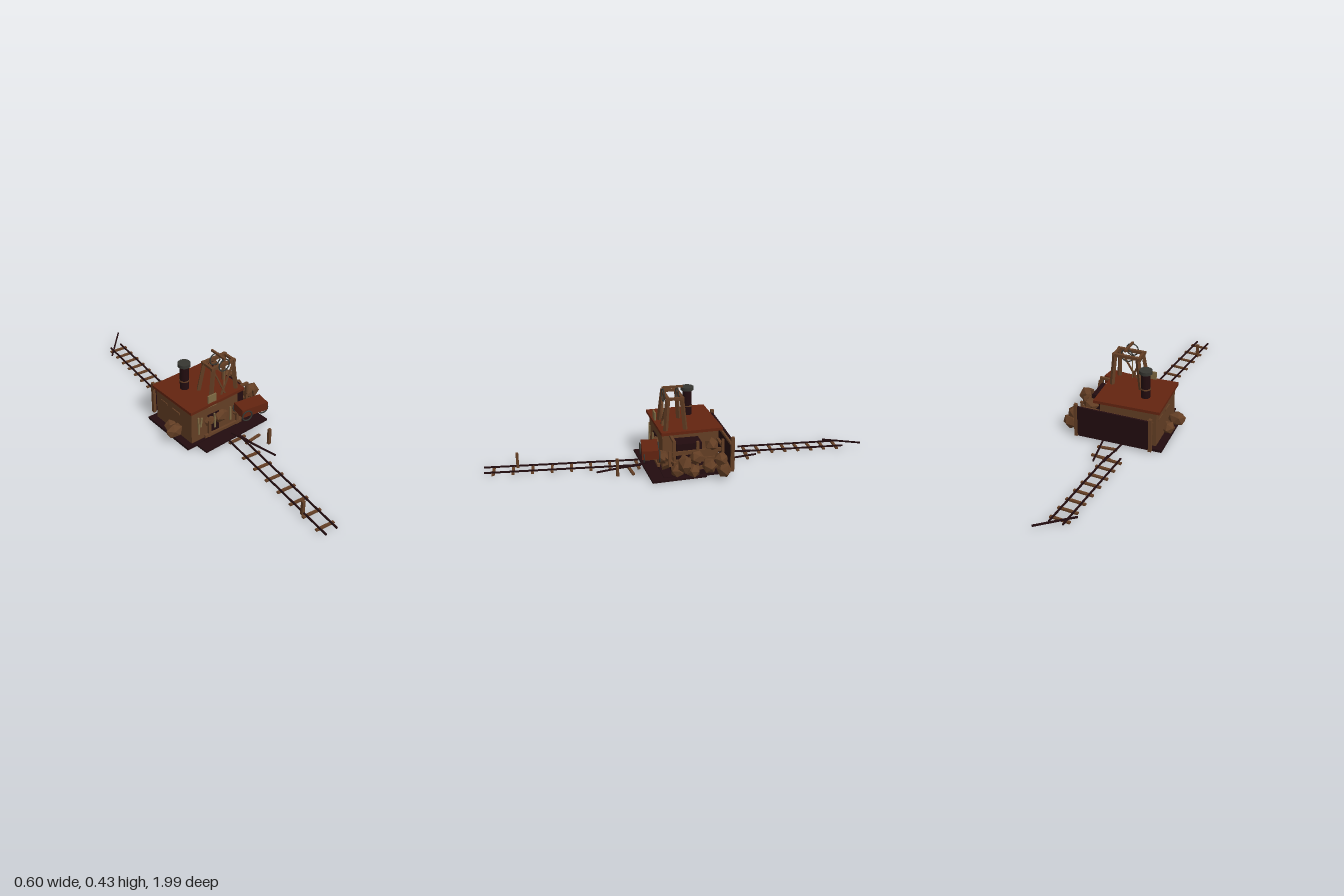
import * as THREE from 'three';

const paint = (name, color) => {
  const m = new THREE.MeshStandardMaterial({ color });
  m.name = name;
  return m;
};

export function createModel() {
  const wood = paint('wood brown', 0x633e24);
  const red = paint('rust red', 0x632410);
  const dark = paint('dark iron', 0x220c0f);
  const grey = paint('steel grey', 0x363631);
  const beige = paint('pale board', 0x7d6842);
  const root = new THREE.Group();
  root.name = 'mineHouse';

  const group = (name) => {
    const g = new THREE.Group();
    g.name = name;
    root.add(g);
    return g;
  };
  const add = (parent, name, geo, mat, x, y, z) => {
    const m = new THREE.Mesh(geo, mat);
    m.name = name;
    m.position.set(x, y, z);
    parent.add(m);
    return m;
  };
  const box = (parent, name, mat, w, h, d, x, y, z, ry = 0, rz = 0) => {
    const m = add(parent, name, new THREE.BoxGeometry(w, h, d), mat, x, y, z);
    m.rotation.set(0, ry, rz);
    return m;
  };
  // square timber running from a to b
  const beam = (parent, name, mat, a, b, w, h = w) => {
    const p = new THREE.Vector3(...a), q = new THREE.Vector3(...b);
    const m = add(parent, name, new THREE.BoxGeometry(w, h, p.distanceTo(q)), mat, 0, 0, 0);
    m.position.copy(p).add(q).multiplyScalar(0.5);
    m.lookAt(q);
    return m;
  };

  // ground plates
  const base = group('base');
  box(base, 'basePlate', dark, 0.45, 0.014, 0.34, -0.022, 0.007, -0.05, 0.02);
  box(base, 'frontPlate', dark, 0.42, 0.01, 0.28, 0.02, 0.006, 0.05, 0.05);

  // cabin and roof
  const house = group('cabin');
  box(house, 'walls', wood, 0.3, 0.195, 0.295, -0.058, 0.11, -0.044, 0.02);
  box(house, 'roof', red, 0.35, 0.015, 0.32, -0.05, 0.2125, -0.043, 0.035);
  box(house, 'door', dark, 0.072, 0.125, 0.006, -0.066, 0.083, 0.105, 0.02);
  box(house, 'roofBoard', beige, 0.052, 0.068, 0.008, -0.076, 0.229, 0.107);
  for (const [x, y, h, tilt] of [[-0.168, 0.113, 0.104, 0.03], [-0.152, 0.13, 0.055, -0.14], [-0.066, 0.105, 0.09, 0.02], [0.036, 0.103, 0.082, 0]])
    box(house, 'wallBoard', beige, 0.009, h, 0.006, x, y, 0.117, 0, tilt);
  for (const z of [-0.12, -0.02]) box(house, 'sideBatten', wood, 0.006, 0.012, 0.06, -0.21, 0.145, z);

  // low rail in front of the door
  const fence = group('frontRail');
  box(fence, 'lowRail', wood, 0.235, 0.016, 0.012, -0.015, 0.034, 0.122);
  box(fence, 'railPost', wood, 0.015, 0.1, 0.014, -0.102, 0.07, 0.118);
  box(fence, 'railPost', wood, 0.015, 0.07, 0.014, 0.08, 0.055, 0.118);

  // rear panel with end posts
  const rear = group('rearPanel');
  box(rear, 'panel', dark, 0.39, 0.165, 0.01, 0.003, 0.1, -0.236);
  for (const x of [-0.198, 0.203]) box(rear, 'panelPost', wood, 0.016, 0.185, 0.018, x, 0.105, -0.238);
  box(rear, 'panelRail', wood, 0.42, 0.012, 0.012, 0.003, 0.17, -0.226);

  // chimney
  const chimney = group('chimney');
  add(chimney, 'stack', new THREE.CylinderGeometry(0.024, 0.024, 0.145, 12), dark, -0.112, 0.288, -0.077);
  add(chimney, 'band', new THREE.CylinderGeometry(0.027, 0.027, 0.006, 12), wood, -0.112, 0.269, -0.077);
  add(chimney, 'cap', new THREE.CylinderGeometry(0.034, 0.034, 0.018, 12), grey, -0.112, 0.364, -0.077);

  // hoist tower on the roof
  const tower = group('hoistTower');
  for (const [zTop, zLow] of [[0.07, 0.085], [-0.003, -0.02]]) {
    beam(tower, 'leg', wood, [-0.066, 0.21, zLow], [-0.04, 0.38, zTop], 0.018);
    beam(tower, 'leg', wood, [0.097, 0.2, zLow], [0.086, 0.38, zTop], 0.018);
    box(tower, 'topBeam', wood, 0.153, 0.016, 0.016, 0.022, 0.384, zTop);
    add(tower, 'hoistRing', new THREE.TorusGeometry(0.033, 0.0035, 6, 14), grey, 0.022, 0.386, zTop + 0.01);
  }
  beam(tower, 'brace', wood, [-0.038, 0.367, 0.073], [0.026, 0.215, 0.085], 0.008);
  beam(tower, 'brace', wood, [0.082, 0.367, 0.073], [-0.002, 0.215, 0.085], 0.008);
  for (const x of [-0.045, 0.09]) box(tower, 'sideBeam', wood, 0.013, 0.013, 0.095, x, 0.384, 0.033);
  box(tower, 'axle', wood, 0.011, 0.01, 0.108, 0.022, 0.424, 0.032);
  add(tower, 'rope', new THREE.CylinderGeometry(0.002, 0.002, 0.145, 6), beige, 0.022, 0.288, 0.079);

  // timber ore crib along the side
  const crib = group('oreCrib');
  for (const z of [-0.19, -0.06, 0.06]) {
    box(crib, 'post', wood, 0.013, 0.175, 0.013, 0.19, 0.1, z);
    box(crib, 'crossBeam', wood, 0.1, 0.012, 0.014, 0.147, z > 0 ? 0.194 : 0.15, z);
  }
  for (const y of [0.04, 0.085, 0.13])
    box(crib, 'sidePlank', wood, 0.01, 0.02, 0.27, 0.185, y, -0.065, 0.03);
  box(crib, 'chest', dark, 0.085, 0.11, 0.13, 0.138, 0.12, -0.02);
  box(crib, 'floor', dark, 0.1, 0.02, 0.25, 0.15, 0.022, -0.06);
  beam(crib, 'looseTimber', wood, [0.11, 0.02, 0.1], [0.2, 0.075, 0.08], 0.014);
  beam(crib, 'looseTimber', wood, [0.12, 0.09, 0.1], [0.215, 0.085, 0.06], 0.014);
  beam(crib, 'looseTimber', wood, [0.225, 0.08, 0.09], [0.212, 0.158, 0.09], 0.012);

  // rocks: position and half-sizes
  const rocks = group('rocks');
  [
    [0.25, 0.097, 0.02, 0.05, 0.047, 0.036], [0.255, 0.052, -0.18, 0.047, 0.042, 0.036],
    [0.235, 0.1, -0.17, 0.045, 0.036, 0.036], [0.215, 0.06, -0.115, 0.044, 0.038, 0.036],
    [0.21, 0.11, -0.05, 0.04, 0.035, 0.036], [0.22, 0.045, -0.03, 0.05, 0.033, 0.036],
    [0.16, 0.15, -0.14, 0.04, 0.035, 0.036], [0.215, 0.05, 0.05, 0.04, 0.033, 0.034],
    [-0.25, 0.067, 0.02, 0.049, 0.039, 0.033], [-0.225, 0.045, -0.045, 0.036, 0.033, 0.034],
    [-0.02, 0.108, 0.1, 0.046, 0.038, 0.034], [-0.09, 0.108, 0.098, 0.034, 0.034, 0.03],
    [0.11, 0.085, 0.105, 0.046, 0.035, 0.034],
  ].forEach(([x, y, z, a, b, c], i) => {
    const g = new THREE.IcosahedronGeometry(1.06, 0).rotateZ(i * 0.7).rotateX(i * 0.4).scale(a, b, c);
    add(rocks, 'rock', g, wood, x, y, z);
  });

  // tipped ore cart
  const cart = group('oreCart');
  cart.position.set(0.127, 0.139, 0.172);
  cart.rotation.y = -0.14;
  box(cart, 'cartBody', red, 0.152, 0.046, 0.082, 0, 0, 0);
  box(cart, 'cartFrame', wood, 0.13, 0.008, 0.06, 0, -0.026, 0);
  for (const x of [-0.05, 0.055])
    for (const z of [-0.046, x < 0 ? 0.046 : 0.03])
      add(cart, 'cartWheel', new THREE.TorusGeometry(0.028, 0.004, 6, 14), grey, x, -0.014, z);

  // track: two stretches with sleepers, plus broken pieces
  const track = group('track');
  const stretch = (zA, xA, zB, xB, gap, sleepers) => {
    for (const s of [-gap / 2, gap / 2])
      beam(track, 'rail', dark, [xA + s, 0.014, zA], [xB + s, 0.014, zB], 0.007, 0.008);
    const turn = Math.atan2(xB - xA, zB - zA);
    for (const z of sleepers)
      box(track, 'sleeper', wood, 0.104, 0.009, 0.014, xA + (xB - xA) * (z - zA) / (zB - zA), 0.007, z, turn);
  };
  const steps = (from, to, n) => Array.from({ length: n }, (_, i) => from + (to - from) * i / (n - 1));
  stretch(0.2, -0.005, 0.99, -0.083, 0.068, steps(0.355, 0.942, 7));
  stretch(-0.915, -0.011, -0.355, -0.055, 0.068, steps(-0.88, -0.38, 8));
  for (const [x, z, r] of [[0.01, -0.37, -0.08], [0.012, -0.285, 0.08], [0.005, 0.215, 0], [0.07, 0.26, 0.12]])
    box(track, 'looseSleeper', wood, 0.104, 0.009, 0.014, x, 0.007, z, r);
  for (const [a, b] of [
    [[-0.045, 0.014, -0.24], [-0.02, 0.014, -0.41]], [[0.055, 0.014, -0.24], [0.03, 0.014, -0.42]],
    [[0.01, 0.014, 0.16], [0.07, 0.014, 0.435]], [[0.03, 0.014, 0.2], [0.04, 0.014, 0.3]],
    [[-0.083, 0.012, -0.84], [0.062, 0.038, -0.998]],
  ]) beam(track, 'brokenRail', dark, a, b, 0.007, 0.008);
  box(track, 'markerPost', wood, 0.016, 0.092, 0.014, 0.114, 0.05, 0.335);
  box(track, 'markerPost', wood, 0.016, 0.08, 0.014, -0.103, 0.044, 0.82);

  return root;
}
